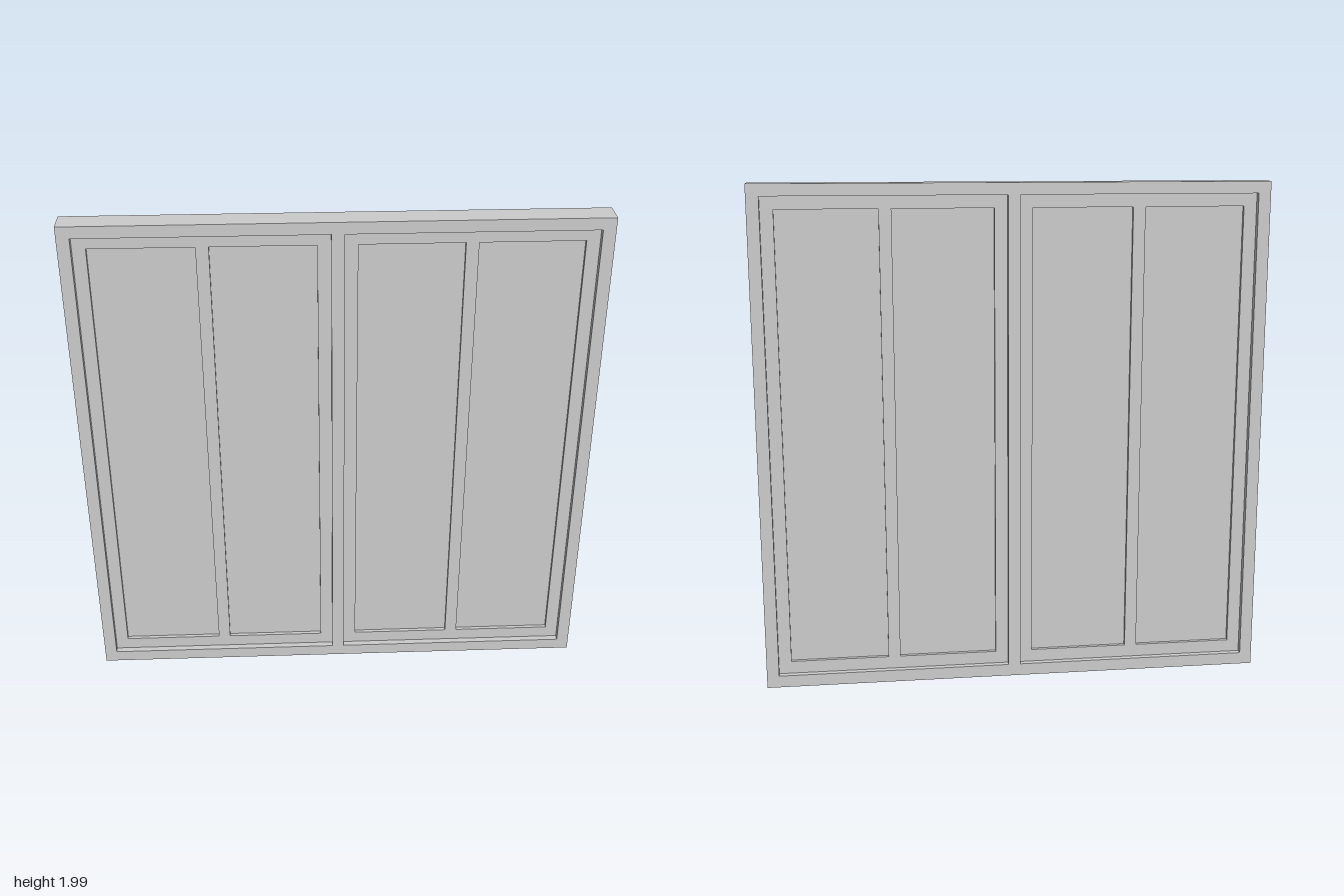
import * as THREE from 'three';

const HEIGHT = 1.99;
const material = new THREE.MeshStandardMaterial({ color: 0xcccccc, flatShading: true });

// Rectangle outline as [x0, x1, y0, y1]
function trace(path, [x0, x1, y0, y1]) {
  path.moveTo(x0, y0);
  path.lineTo(x1, y0);
  path.lineTo(x1, y1);
  path.lineTo(x0, y1);
  path.closePath();
  return path;
}

// Rectangular slab with rectangular openings, centred on z = 0
function slab(name, outer, openings, depth) {
  const shape = trace(new THREE.Shape(), outer);
  for (const o of openings) shape.holes.push(trace(new THREE.Path(), o));
  const geometry = new THREE.ExtrudeGeometry(shape, { depth, bevelEnabled: false });
  geometry.translate(0, 0, -depth / 2);
  const mesh = new THREE.Mesh(geometry, material);
  mesh.name = name;
  return mesh;
}

// Mirror a rectangle across x = 0
const mirror = ([x0, x1, y0, y1]) => [-x1, -x0, y0, y1];

export function createModel() {
  const model = new THREE.Group();
  model.name = 'doubleWindow';

  const opening = [0.024, 0.952, 0.048, 1.944];
  const panes = [
    [0.074, 0.464, 0.098, 1.894],
    [0.512, 0.902, 0.098, 1.894],
  ];

  // Outer frame with centre mullion
  model.add(slab('outerFrame', [-1, 1, 0, HEIGHT], [opening, mirror(opening)], 0.1));

  // One sash with two glass panes on each side
  for (const side of ['left', 'right']) {
    const place = side === 'left' ? (r) => r : mirror;
    const sash = new THREE.Group();
    sash.name = `${side}Sash`;
    sash.add(slab('sashFrame', place(opening), panes.map(place), 0.05));
    for (const pane of panes) sash.add(slab('glassPane', place(pane), [], 0.02));
    model.add(sash);
  }
  return model;
}
